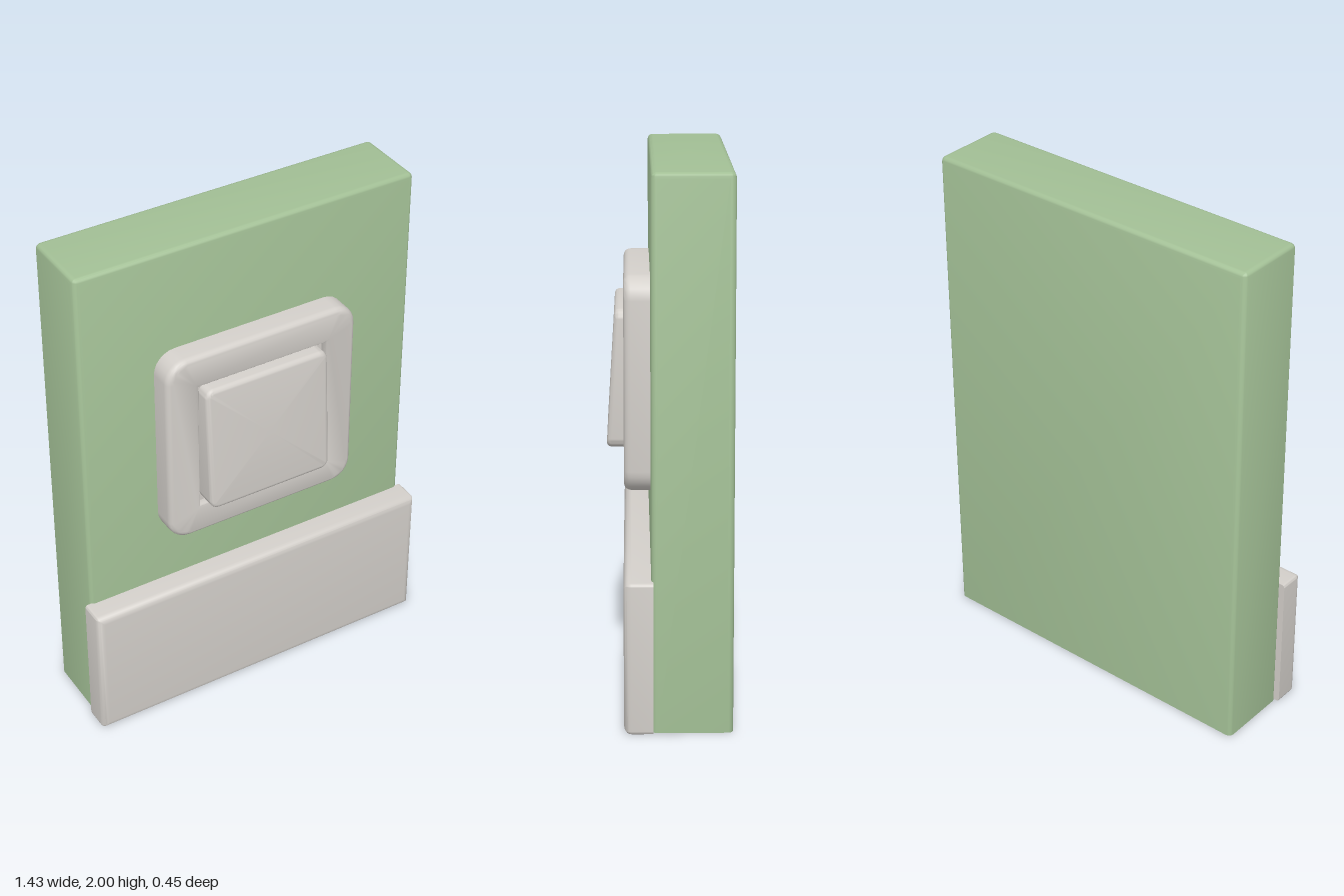
import * as THREE from 'three';
import { toCreasedNormals } from 'three/addons/utils/BufferGeometryUtils.js';

const CORNER_STEPS = 6;

// Counter-clockwise rounded rectangle, shrunk by inset, at height z
function ring(w, h, r, inset, z, tilt) {
  const radius = Math.max(r - inset, 0.002);
  const cx = w / 2 - inset - radius, cy = h / 2 - inset - radius;
  const points = [];
  [[1, 1], [-1, 1], [-1, -1], [1, -1]].forEach(([sx, sy], q) => {
    for (let i = 0; i <= CORNER_STEPS; i++) {
      const a = (q + i / CORNER_STEPS) * Math.PI / 2;
      const x = sx * cx + radius * Math.cos(a), y = sy * cy + radius * Math.sin(a);
      points.push([x, y, z - tilt * y]);
    }
  });
  return points;
}

// Closed solid through a list of [inset, z] rings, capped at both ends
function loft(w, h, r, profile, tilt = 0) {
  const rings = profile.map(([inset, z]) => ring(w, h, r, inset, z, tilt));
  const n = rings[0].length, last = rings.length - 1, positions = [];
  const tri = (a, b, c) => positions.push(...a, ...b, ...c);
  const backCentre = [0, 0, profile[0][1]], frontCentre = [0, 0, profile[last][1]];
  for (let i = 0; i < n; i++) {
    const j = (i + 1) % n;
    for (let k = 0; k < last; k++) {
      const a = rings[k], b = rings[k + 1];
      tri(a[i], a[j], b[j]);
      tri(a[i], b[j], b[i]);
    }
    tri(backCentre, rings[0][j], rings[0][i]);
    tri(frontCentre, rings[last][i], rings[last][j]);
  }
  const geometry = new THREE.BufferGeometry();
  geometry.setAttribute('position', new THREE.Float32BufferAttribute(positions, 3));
  return toCreasedNormals(geometry, 0.6);
}

// Quarter-round edge ending at height z; base is the inset of its outer side
function roundEdge(bevel, z, base = 0) {
  return Array.from({ length: 6 }, (_, i) => {
    const a = i / 5 * Math.PI / 2;
    return [base + bevel * (1 - Math.cos(a)), z - bevel * (1 - Math.sin(a))];
  });
}

export function createModel() {
  const group = new THREE.Group();
  const green = new THREE.MeshStandardMaterial({ color: 0xa2bf95 });
  green.name = 'sage green';
  const white = new THREE.MeshStandardMaterial({ color: 0xd3cfca });
  white.name = 'warm white';

  const add = (name, geometry, material, y = 0, z = 0) => {
    const mesh = new THREE.Mesh(geometry, material);
    mesh.name = name;
    mesh.position.set(0, y, z);
    group.add(mesh);
  };

  // Wall slab: rounded upright edges and top, flat underside
  const wall = loft(1.39, 0.292, 0.022, [[0, 0], ...roundEdge(0.02, 2)]);
  wall.rotateX(-Math.PI / 2);
  add('wall', wall, green, 0, -0.079);

  // Skirting board across the foot of the wall
  add('skirtingBoard', loft(1.43, 0.56, 0.012, [[0, 0.06], ...roundEdge(0.028, 0.165)]), white, 0.28);

  // Switch plate with a recessed square opening
  const lip = roundEdge(0.012, 0.163).reverse().map(([inset, z]) => [0.13 - inset, z]);
  add('switchPlate', loft(0.795, 0.795, 0.085,
    [[0, 0.05], ...roundEdge(0.026, 0.163), ...lip, [0.13, 0.135]]), white, 1.197);

  // Rocker, standing out further at its lower edge
  add('rocker', loft(0.515, 0.515, 0.035, [[0, 0.11], ...roundEdge(0.018, 0.211)], 0.06), white, 1.197);

  return group;
}
